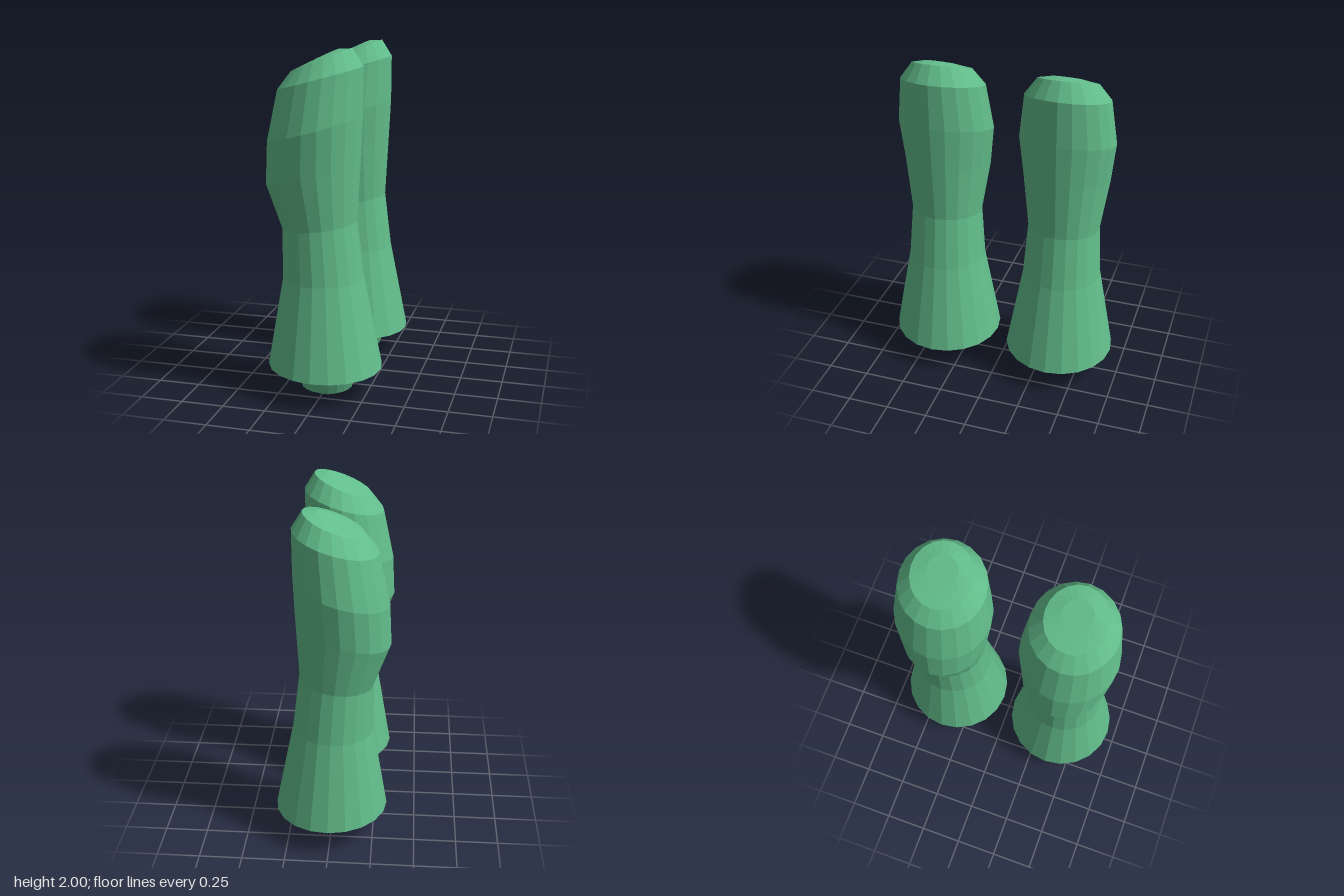
import * as THREE from 'three';

const SIDES = 20;

// Tilted oval rings, bottom to top: [left x, left y, right x, right y, half depth]
const RINGS = [
  [-0.08, 0.012, 0.1, 0.004, 0.09],
  [-0.14, 0.042, 0.16, 0.034, 0.15],
  [-0.17, 0.12, 0.19, 0.105, 0.18],
  [-0.33, 0.175, 0.333, 0.16, 0.332],
  [-0.242, 0.69, 0.225, 0.70, 0.235],
  [-0.242, 0.98, 0.185, 1.03, 0.213],
  [-0.335, 1.235, 0.204, 1.38, 0.254],
  [-0.322, 1.48, 0.215, 1.63, 0.281],
  [-0.26, 1.77, 0.217, 1.90, 0.245],
  [-0.185, 1.868, 0.157, 1.998, 0.172],
  [-0.07, 1.923, 0.08, 1.994, 0.085],
];

// Skin the rings and close both ends with a fan
function limbGeometry() {
  const pos = [], index = [];
  for (const [lx, ly, rx, ry, depth] of RINGS) {
    for (let i = 0; i < SIDES; i++) {
      const a = (i / SIDES) * Math.PI * 2;
      const t = (1 + Math.cos(a)) / 2;
      pos.push(lx + (rx - lx) * t, ly + (ry - ly) * t, -Math.sin(a) * depth);
    }
  }
  for (let r = 0; r < RINGS.length - 1; r++) {
    for (let i = 0; i < SIDES; i++) {
      const a = r * SIDES + i, b = r * SIDES + (i + 1) % SIDES;
      index.push(a, b, b + SIDES, a, b + SIDES, a + SIDES);
    }
  }
  const addCap = (r, top) => {
    const [lx, ly, rx, ry] = RINGS[r];
    const centre = pos.length / 3;
    pos.push((lx + rx) / 2, top ? (ly + ry) / 2 : 0, 0);
    for (let i = 0; i < SIDES; i++) {
      const a = r * SIDES + i, b = r * SIDES + (i + 1) % SIDES;
      index.push(centre, top ? a : b, top ? b : a);
    }
  };
  addCap(0, false);
  addCap(RINGS.length - 1, true);
  const g = new THREE.BufferGeometry();
  g.setAttribute('position', new THREE.Float32BufferAttribute(pos, 3));
  g.setIndex(index);
  g.computeVertexNormals();
  return g;
}

export function createModel() {
  const group = new THREE.Group();
  group.name = 'limbPair';
  const geometry = limbGeometry();
  const material = new THREE.MeshStandardMaterial({ color: 0x62bd8b, flatShading: true });
  // Two identical limbs side by side
  for (const [name, z] of [['frontLimb', 0.37], ['backLimb', -0.37]]) {
    const limb = new THREE.Mesh(geometry, material);
    limb.name = name;
    limb.position.z = z;
    group.add(limb);
  }
  return group;
}
